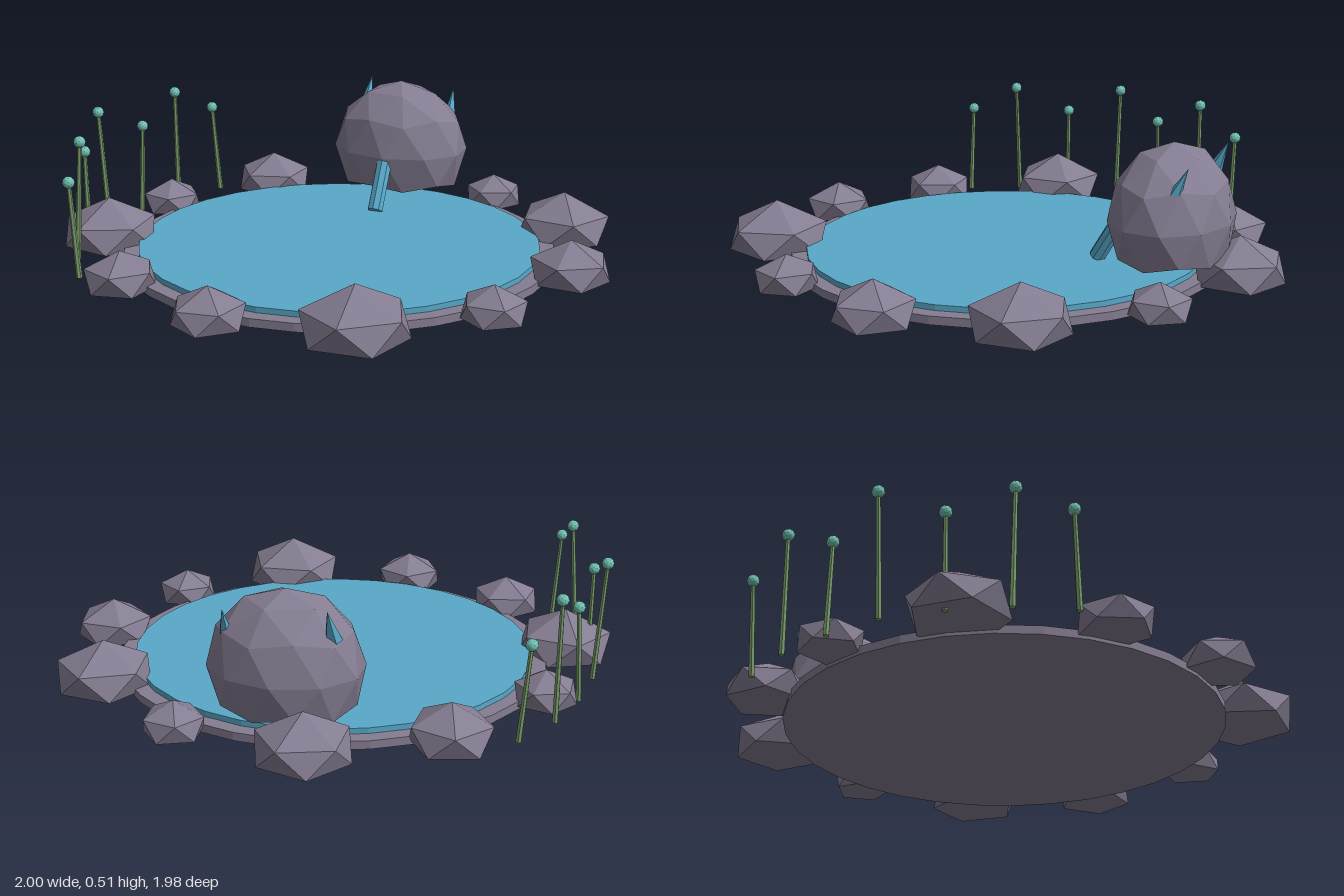
import * as THREE from 'three';

const mat = (name, color, flatShading = true) => {
  const m = new THREE.MeshStandardMaterial({ color, flatShading });
  m.name = name;
  return m;
};

export function createModel() {
  const group = new THREE.Group();
  const stone = mat('stone', 0x857d92);
  const water = mat('water', 0x58a9c9);
  const stalkGreen = mat('stalkGreen', 0x7a9f6c);
  const budTeal = mat('budTeal', 0x72c2b2);

  const add = (name, geometry, material) => {
    const mesh = new THREE.Mesh(geometry, material);
    mesh.name = name;
    group.add(mesh);
    return mesh;
  };

  // Icosahedral boulder standing on a vertex, its underside cut flat at floorY
  const boulder = (name, detail, [x, y, z], [rx, ry, rz], yaw, floorY) => {
    const g = new THREE.IcosahedronGeometry(1, detail);
    g.rotateZ(-Math.atan(2 / (1 + Math.sqrt(5))));
    g.rotateY(yaw).scale(rx, ry, rz).translate(x, y, z);
    const p = g.attributes.position;
    for (let i = 0; i < p.count; i++) p.setY(i, Math.max(p.getY(i), floorY));
    g.computeVertexNormals();
    return add(name, g, stone);
  };

  // Tapered rod between two points
  const rod = (name, from, to, r0, r1, sides, material) => {
    const a = new THREE.Vector3(...from), b = new THREE.Vector3(...to);
    const dir = b.clone().sub(a);
    const mesh = add(name, new THREE.CylinderGeometry(r1, r0, dir.length(), sides), material);
    mesh.position.copy(a).add(b).multiplyScalar(0.5);
    mesh.quaternion.setFromUnitVectors(new THREE.Vector3(0, 1, 0), dir.normalize());
    return mesh;
  };

  // Basin and water disc
  const disc = (name, r, y0, y1, material) => {
    add(name, new THREE.CylinderGeometry(r, r, y1 - y0, 32), material)
      .position.set(0, (y0 + y1) / 2, 0.035);
  };
  disc('basin', 0.785, 0, 0.03, stone);
  disc('waterSurface', 0.73, 0.025, 0.05, water);

  // Ring of rim rocks: x, z, radius
  const rocks = [
    [-0.11, -0.835, 0.18], [0.355, -0.745, 0.118], [0.72, -0.43, 0.187], [0.86, 0.035, 0.155],
    [0.72, 0.49, 0.122], [0.36, 0.805, 0.2], [-0.12, 0.872, 0.138], [-0.55, 0.675, 0.138],
    [-0.55, -0.615, 0.158], [-0.81, -0.205, 0.122], [-0.825, 0.26, 0.188],
  ];
  rocks.forEach(([x, z, r], i) =>
    boulder('rimRock', 0, [x, 0.034, z], [r, r * 0.8, r], i * 0.7, 0.012));

  // Large boulder with its water spout
  boulder('largeBoulder', 1, [0, 0.242, -0.625], [0.268, 0.266, 0.215], 0, 0.095);
  rod('waterSpout', [0, 0.26, -0.46], [0, 0.055, -0.337], 0.03, 0.03, 8, water);

  // Water spikes behind the boulder's crown
  rod('waterSpike', [-0.178, 0.34, -0.685], [-0.17, 0.49, -0.755], 0.038, 0, 5, water);
  rod('waterSpike', [0.18, 0.32, -0.685], [0.175, 0.468, -0.755], 0.035, 0, 5, water);

  // Reeds: bud x, bud z, bud height, foot x
  const reeds = [
    [-0.79, -0.535, 0.35, -0.76], [-0.865, -0.355, 0.445, -0.86], [-0.905, -0.155, 0.35, -0.92],
    [-0.98, 0.05, 0.445, -0.95], [-0.92, 0.26, 0.35, -0.915], [-0.82, 0.455, 0.445, -0.85],
    [-0.765, 0.63, 0.35, -0.74],
  ];
  for (const [x, z, y, footX] of reeds) {
    rod('reedStalk', [footX, 0.006, z], [x, y, z], 0.011, 0.008, 6, stalkGreen);
    add('reedBud', new THREE.IcosahedronGeometry(0.022, 1), budTeal).position.set(x, y, z);
  }

  return group;
}
